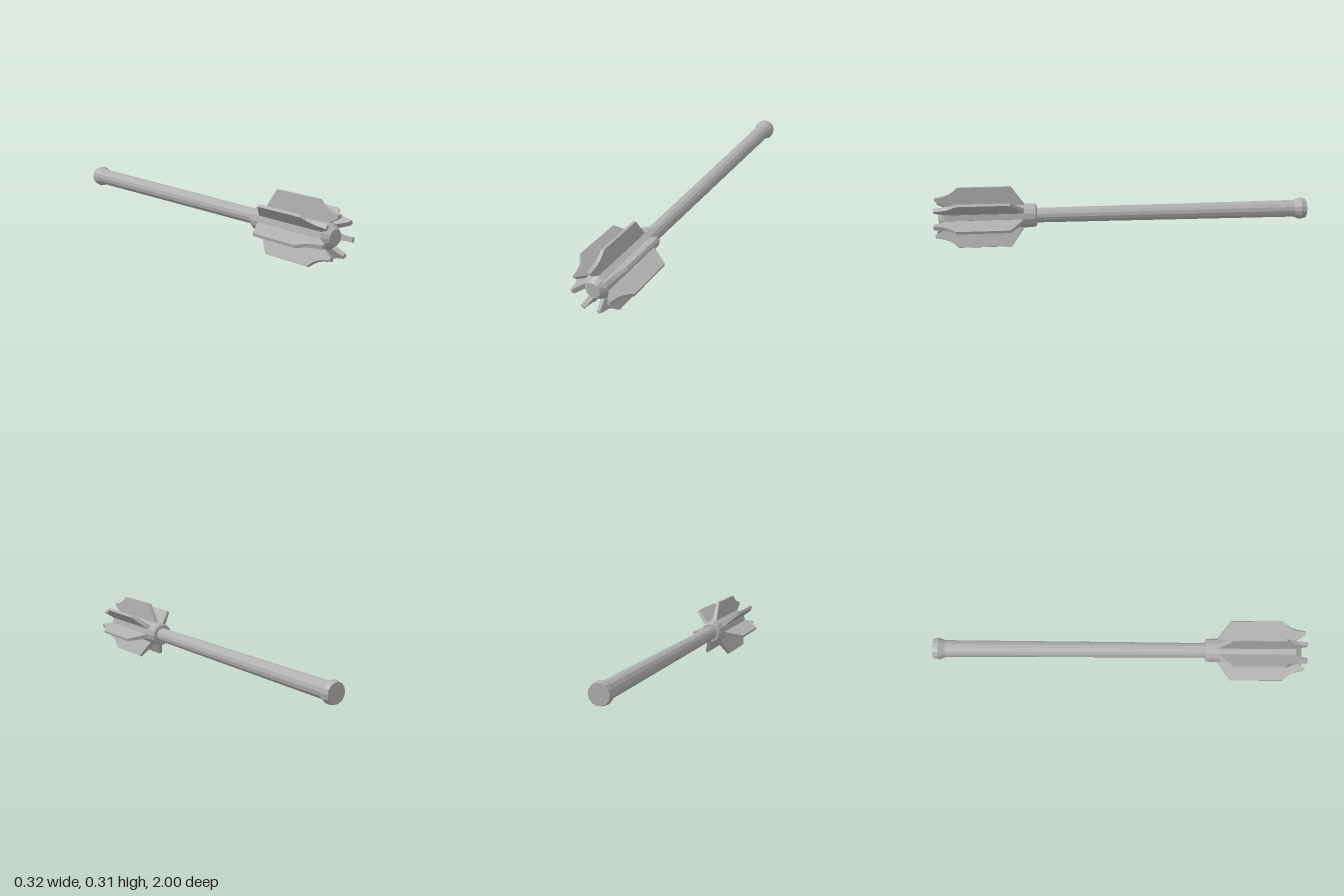
import * as THREE from 'three';

const SIDES = 14, FINS = 7, AXIS_Y = 0.15;

// Faceted solid turned around the z axis from [z, radius] pairs
function turned(name, profile, material) {
  const points = profile.map(([z, r]) => new THREE.Vector2(r, z));
  const geometry = new THREE.LatheGeometry(points, SIDES, Math.PI / SIDES);
  geometry.rotateX(Math.PI / 2);
  const mesh = new THREE.Mesh(geometry, material);
  mesh.name = name;
  return mesh;
}

// Blade outline in (z, radius), thinning linearly toward its outer edge
function finGeometry() {
  const outline = [
    [0.52, 0.045], [0.53, 0.06], [0.6, 0.163], [0.88, 0.163],
    [0.9, 0.143], [0.925, 0.127], [0.955, 0.116], [1, 0.108],
    [1, 0.093], [0.945, 0.063], [0.93, 0.045],
  ];
  const shape = new THREE.Shape(outline.map(([z, r]) => new THREE.Vector2(z, r)));
  const geometry = new THREE.ExtrudeGeometry(shape, { depth: 2, bevelEnabled: false });
  geometry.translate(0, 0, -1);
  geometry.rotateY(-Math.PI / 2);
  const p = geometry.attributes.position;
  for (let i = 0; i < p.count; i++) {
    const half = THREE.MathUtils.mapLinear(p.getY(i), 0.063, 0.163, 0.0132, 0.0073);
    p.setX(i, p.getX(i) * half);
  }
  geometry.computeVertexNormals();
  return geometry;
}

export function createModel() {
  const steel = new THREE.MeshStandardMaterial({ color: 0xb0b0b0, flatShading: true });
  steel.name = 'steel grey';

  const model = new THREE.Group();
  model.name = 'flangedMace';
  const body = new THREE.Group();
  body.name = 'maceBody';
  body.position.y = AXIS_Y;
  model.add(body);

  // Handle, slightly thicker toward the pommel
  body.add(turned('shaft', [[-0.95, 0.046], [0.48, 0.039]], steel));

  // Flared end cap
  body.add(turned('pommel', [
    [-1, 0], [-1, 0.053], [-0.97, 0.059], [-0.935, 0.046], [-0.935, 0],
  ], steel));

  // Core of the head with a bevelled nose
  body.add(turned('headCore', [
    [0.465, 0], [0.465, 0.052], [0.472, 0.0615], [0.53, 0.0645],
    [0.945, 0.0645], [0.98, 0.039], [0.98, 0],
  ], steel));

  // Ring of blades
  const geometry = finGeometry();
  for (let i = 0; i < FINS; i++) {
    const fin = new THREE.Mesh(geometry, steel);
    fin.name = 'flange' + (i + 1);
    fin.rotation.z = (i * 2 * Math.PI) / FINS;
    body.add(fin);
  }
  return model;
}
